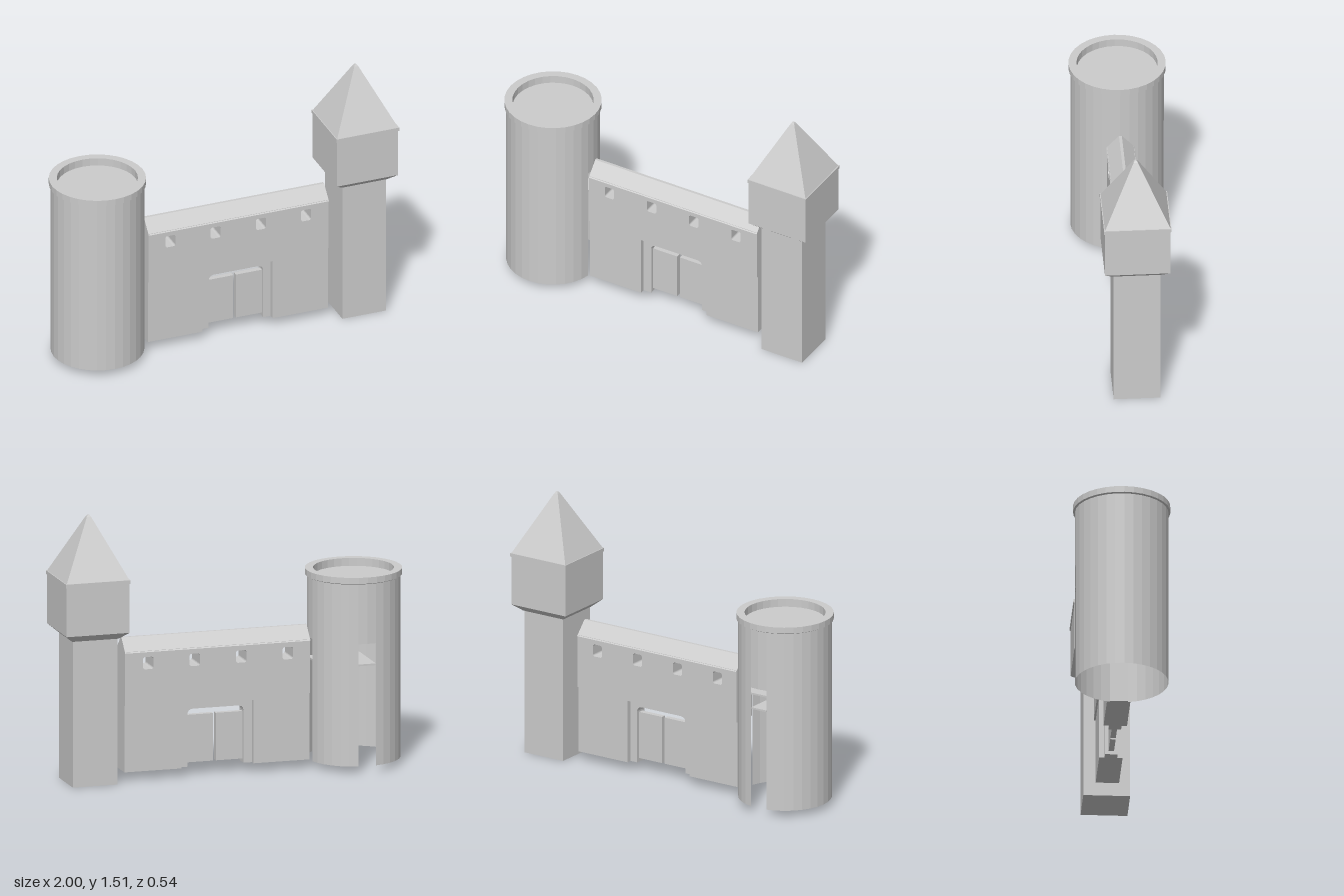
import * as THREE from 'three';

const SEGS = 32, STEP = (Math.PI * 2) / SEGS;
const mat = new THREE.MeshStandardMaterial({ color: 0xcccccc, flatShading: true });
const thinMat = new THREE.MeshStandardMaterial({ color: 0xcccccc, flatShading: true, side: THREE.DoubleSide });

function add(parent, name, geometry, x = 0, y = 0, z = 0, material = mat) {
  const mesh = new THREE.Mesh(geometry, material);
  mesh.name = name;
  mesh.position.set(x, y, z);
  parent.add(mesh);
  return mesh;
}

// Box given by its x and y ranges and half depth in z
function block(parent, name, x0, x1, y0, y1, half) {
  return add(parent, name, new THREE.BoxGeometry(x1 - x0, y1 - y0, half * 2), (x0 + x1) / 2, (y0 + y1) / 2, 0);
}

function polygon(points) {
  return new THREE.Shape(points.map(([x, y]) => new THREE.Vector2(x, y)));
}

// Outline in x/y extruded evenly to both sides of z = 0
function slab(parent, name, shape, half) {
  const geo = new THREE.ExtrudeGeometry(shape, { depth: half * 2, bevelEnabled: false, curveSegments: 4 });
  return add(parent, name, geo, 0, 0, -half);
}

function roundedHole(cx, cy, w, h, r) {
  const p = new THREE.Path(), a = w / 2, b = h / 2;
  p.absarc(cx + a - r, cy + b - r, r, 0, Math.PI / 2);
  p.absarc(cx - a + r, cy + b - r, r, Math.PI / 2, Math.PI);
  p.absarc(cx - a + r, cy - b + r, r, Math.PI, Math.PI * 1.5);
  p.absarc(cx + a - r, cy - b + r, r, Math.PI * 1.5, Math.PI * 2);
  p.closePath();
  return p;
}

// Square frustum with half widths at the bottom and top
function frustum(parent, name, x, y0, y1, bottom, top) {
  const geo = new THREE.CylinderGeometry(top * Math.SQRT2, bottom * Math.SQRT2, y1 - y0, 4);
  geo.rotateY(Math.PI / 4);
  return add(parent, name, geo, x, (y0 + y1) / 2, 0);
}

function createRoundTower() {
  const g = new THREE.Group();
  g.name = 'roundTower';
  g.position.x = -0.73;
  const R = 0.26;
  const shell = (name, y0, y1, first, count) => add(g, name,
    new THREE.CylinderGeometry(R, R, y1 - y0, count, 1, true, first * STEP, count * STEP),
    0, (y0 + y1) / 2, 0, thinMat);

  // Shell with two tall doorways, one at the back and one towards the wall
  shell('upperShell', 0.73, 1.075, 0, SEGS);
  shell('lowerShellCorner', 0.035, 0.73, 9, 6);
  shell('lowerShell', 0.035, 0.73, 17, 22);

  // Walkway joining the doorways
  add(g, 'walkwayBack', new THREE.BoxGeometry(0.1, 0.01, 0.305), 0, 0.61, -0.1025);
  add(g, 'walkwaySide', new THREE.BoxGeometry(0.205, 0.01, 0.1), 0.1525, 0.61, 0);

  // Raised rim around a sunken top
  const rim = [[0.225, 1.06], [0.26, 1.07], [0.27, 1.075], [0.27, 1.11], [0.225, 1.11], [0.225, 1.06]]
    .map(([r, y]) => new THREE.Vector2(r, y));
  add(g, 'rim', new THREE.LatheGeometry(rim, SEGS), 0, 0, 0, thinMat);
  const floor = new THREE.CircleGeometry(0.226, SEGS);
  floor.rotateX(-Math.PI / 2);
  add(g, 'topFloor', floor, 0, 1.065, 0, thinMat);
  return g;
}

function createSquareTower() {
  const g = new THREE.Group();
  g.name = 'squareTower';
  const x = 0.81;
  block(g, 'shaft', x - 0.13, x + 0.13, 0, 0.835, 0.13);
  frustum(g, 'corbel', x, 0.83, 0.87, 0.135, 0.182);
  block(g, 'upperRoom', x - 0.182, x + 0.182, 0.87, 1.155, 0.182);
  block(g, 'eaves', x - 0.187, x + 0.187, 1.15, 1.17, 0.187);
  frustum(g, 'spire', x, 1.17, 1.505, 0.182, 0.012);
  frustum(g, 'spireTip', x, 1.505, 1.515, 0.012, 0.005);
  return g;
}

function createWall() {
  const g = new THREE.Group();
  g.name = 'gateWall';
  const x0 = -0.455, x1 = 0.62;

  // Lower wall with a notch for the gate
  slab(g, 'lowerWall', polygon([[x0, 0.05], [-0.13, 0.05], [-0.13, 0.41], [0.29, 0.41],
    [0.29, 0.05], [x1, 0.05], [x1, 0.43], [x0, 0.43]]), 0.065);

  // Upper wall with a row of small windows
  const upper = polygon([[x0, 0.43], [x1, 0.43], [x1, 0.735], [x0, 0.735]]);
  for (let i = 0; i < 4; i++) upper.holes.push(roundedHole(-0.325 + i * 0.27, 0.665, 0.06, 0.07, 0.012));
  slab(g, 'upperWall', upper, 0.075);

  // Ridged roof with a narrow flat top, swept along x
  const profile = polygon([[-0.08, 0.728], [0.08, 0.728], [0.008, 0.805], [-0.008, 0.805]]);
  const roof = new THREE.ExtrudeGeometry(profile, { depth: x1 - x0, bevelEnabled: false });
  roof.rotateY(Math.PI / 2);
  add(g, 'roof', roof, x0, 0, 0);

  // Recessed frame with an opening whose upper corners are rounded
  const frame = new THREE.Shape();
  frame.moveTo(-0.13, 0.05);
  frame.lineTo(-0.08, 0.05);
  frame.lineTo(-0.08, 0.35);
  frame.quadraticCurveTo(-0.078, 0.375, -0.05, 0.378);
  frame.lineTo(0.215, 0.378);
  frame.quadraticCurveTo(0.243, 0.375, 0.245, 0.35);
  frame.lineTo(0.245, 0.05);
  frame.lineTo(0.29, 0.05);
  frame.lineTo(0.29, 0.41);
  frame.lineTo(-0.13, 0.41);
  slab(g, 'gateFrame', frame, 0.035);

  // Pair of doors, slightly apart
  block(g, 'rightDoor', -0.08, 0.074, 0.07, 0.34, 0.015);
  block(g, 'leftDoor', 0.091, 0.245, 0.07, 0.34, 0.015);
  return g;
}

export function createModel() {
  const model = new THREE.Group();
  model.name = 'castleGate';
  model.add(createRoundTower(), createWall(), createSquareTower());
  return model;
}
